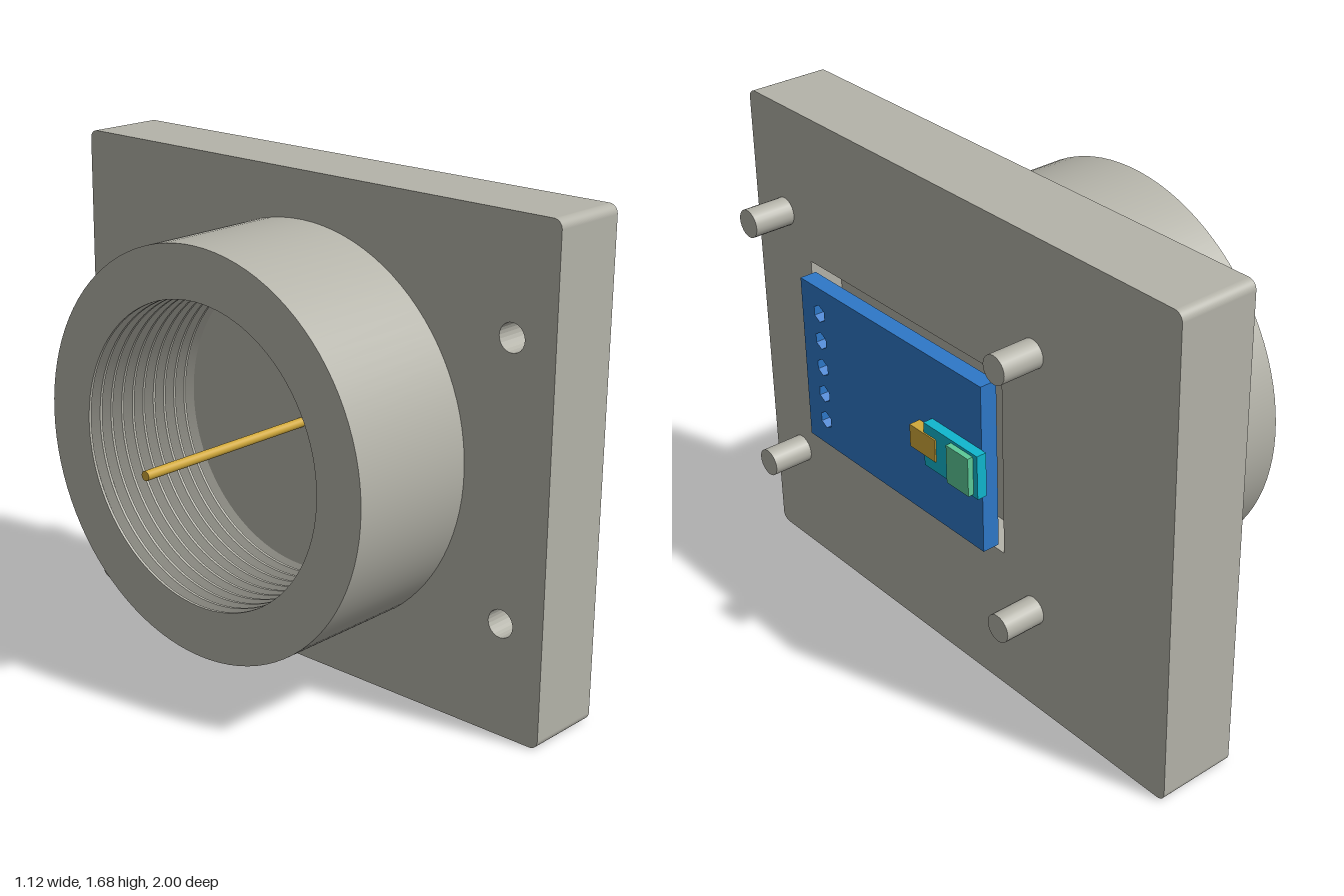
import * as THREE from 'three';

const CY = 0.84; // height of the tube axis

export function createModel() {
  const mat = (name, color) => {
    const m = new THREE.MeshStandardMaterial({ color });
    m.name = name;
    return m;
  };
  const grey = mat('warm grey housing', 0xb4b3a9);
  const blue = mat('blue board', 0x2e78c8);
  const cyan = mat('cyan chip base', 0x10b6ce);
  const green = mat('green chip', 0x5cca98);
  const gold = mat('gold metal', 0xd0a83a);

  const model = new THREE.Group();
  const add = (name, geometry, material) => {
    const mesh = new THREE.Mesh(geometry, material);
    mesh.name = name;
    model.add(mesh);
    return mesh;
  };

  // Shapes are drawn with (-z, y) and extruded along +x from x0 to x1
  const extrudeX = (shape, x0, x1) =>
    new THREE.ExtrudeGeometry(shape, { depth: x1 - x0, bevelEnabled: false, curveSegments: 12 })
      .rotateY(Math.PI / 2).translate(x0, 0, 0);
  const rect = (z0, z1, y0, y1, r = 0, Type = THREE.Shape) => {
    const s = new Type(), a = -z1, b = -z0;
    s.moveTo(a + r, y0).lineTo(b - r, y0);
    if (r) s.absarc(b - r, y0 + r, r, -Math.PI / 2, 0);
    else s.lineTo(b, y0);
    s.lineTo(b, y1 - r);
    if (r) s.absarc(b - r, y1 - r, r, 0, Math.PI / 2);
    s.lineTo(a + r, y1);
    if (r) s.absarc(a + r, y1 - r, r, Math.PI / 2, Math.PI);
    else s.lineTo(a, y1);
    s.lineTo(a, y0 + r);
    if (r) s.absarc(a + r, y0 + r, r, Math.PI, Math.PI * 1.5);
    return s;
  };
  const polygonHole = (z, y, r, n) => {
    const pts = [];
    for (let i = 0; i < n; i++) {
      const t = Math.PI / 2 - (i / n) * Math.PI * 2;
      pts.push(new THREE.Vector2(-z + r * Math.cos(t), y + r * Math.sin(t)));
    }
    return new THREE.Path(pts);
  };
  const box = (name, x0, x1, y0, y1, z0, z1, material) =>
    add(name, new THREE.BoxGeometry(x1 - x0, y1 - y0, z1 - z0), material)
      .position.set((x0 + x1) / 2, (y0 + y1) / 2, (z0 + z1) / 2);
  const rod = (name, x0, x1, y, z, r, material) =>
    add(name, new THREE.CylinderGeometry(r, r, x1 - x0, 24).rotateZ(-Math.PI / 2), material)
      .position.set((x0 + x1) / 2, y, z);

  const corners = [];
  for (const z of [0.84, -0.4]) for (const y of [0.38, 1.3]) corners.push([z, y]);

  // Mounting plate: back half with screw holes, front half with the board recess
  const back = rect(-1, 1, 0, 1.68, 0.03);
  for (const [z, y] of corners) back.holes.push(polygonHole(z, y, 0.047, 24));
  add('plateBack', extrudeX(back, 0.14, 0.3), grey);
  const front = rect(-1, 1, 0, 1.68, 0.03);
  front.holes.push(rect(-0.26, 0.71, 0.52, 1.165, 0, THREE.Path));
  add('plateFront', extrudeX(front, 0.3, 0.415), grey);

  // Locating pins
  for (const [z, y] of corners) rod('locatingPin', 0.3, 0.56, y, z, 0.048, grey);

  // Collar: smooth outside, flat rim
  const collar = new THREE.Group();
  collar.name = 'threadedCollar';
  collar.position.y = CY;
  model.add(collar);
  const lathe = (name, pts) => {
    const g = new THREE.LatheGeometry(pts.map(([r, x]) => new THREE.Vector2(r, x)), 96);
    const mesh = new THREE.Mesh(g.rotateZ(-Math.PI / 2), grey);
    mesh.name = name;
    collar.add(mesh);
  };
  lathe('collarWall', [[0.68, -0.34], [0.68, 0.14]]);
  lathe('collarRim', [[0.505, -0.34], [0.68, -0.34]]);

  // Internal thread: each tooth flank is its own band so that the edges stay sharp
  const teeth = 10, pitch = 0.48 / teeth;
  for (let i = 0; i < teeth; i++) {
    const x = -0.34 + i * pitch, a = 0.505, b = 0.535;
    const profile = [[a, x], [a, x + pitch * 0.2], [b, x + pitch * 0.5], [b, x + pitch * 0.7], [a, x + pitch]];
    for (let k = 0; k < 4; k++) lathe('threadBand', [profile[k + 1], profile[k]]);
  }

  // Contact wire on the axis, running through to the board
  rod('contactWire', -0.56, 0.42, CY, 0, 0.016, gold);

  // Circuit board with five hexagonal holes
  const board = rect(-0.24, 0.68, 0.545, 1.14);
  for (let i = -2; i <= 2; i++) board.holes.push(polygonHole(0.585, 0.843 + i * 0.101, 0.031, 6));
  add('circuitBoard', extrudeX(board, 0.42, 0.48), blue);

  // Components on the board
  box('chipBase', 0.48, 0.515, 0.765, 0.92, -0.26, 0, cyan);
  box('chip', 0.515, 0.535, 0.775, 0.91, -0.24, -0.135, green);
  box('contactPad', 0.48, 0.52, 0.805, 0.885, -0.06, 0.065, gold);

  return model;
}
